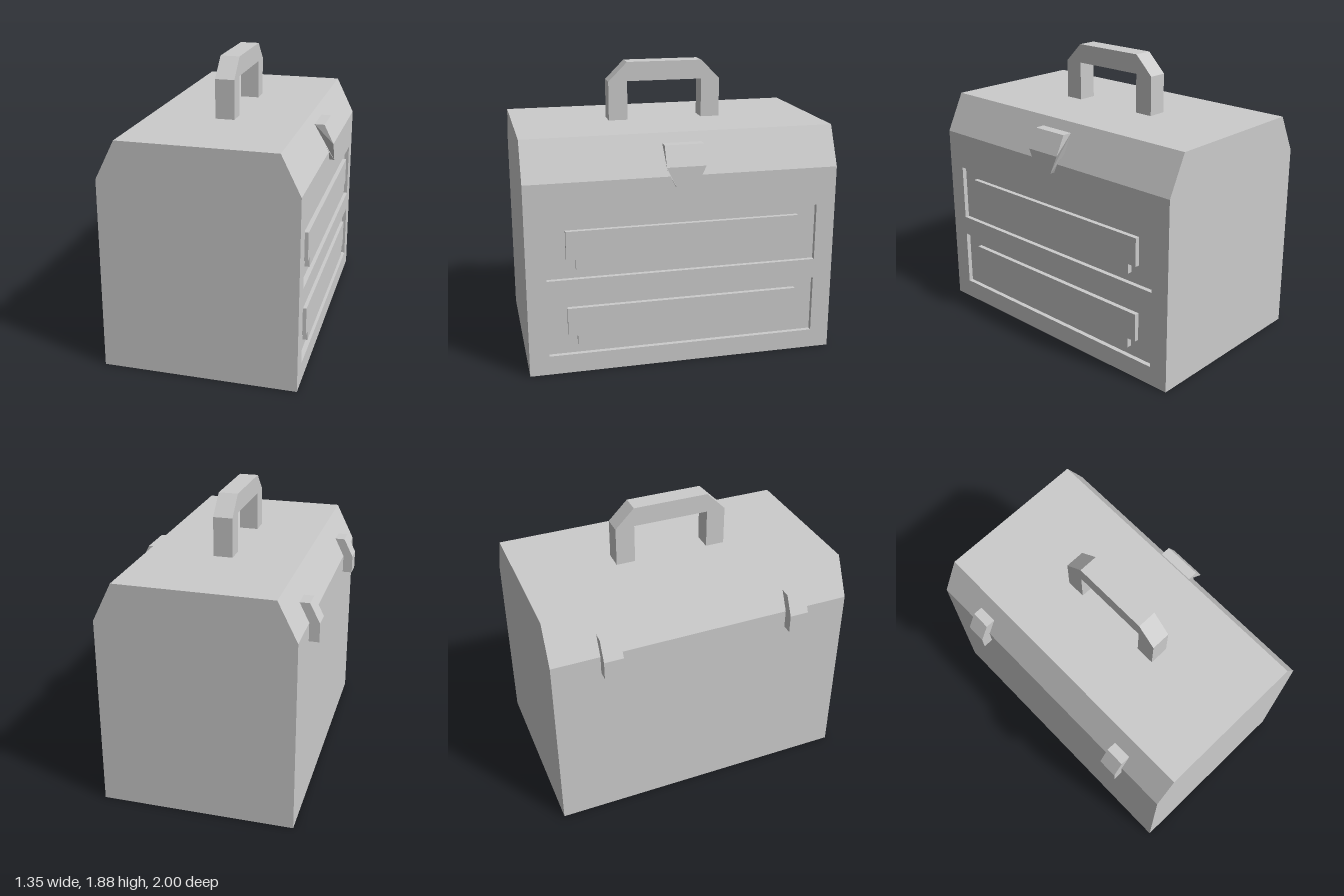
import * as THREE from 'three';

const material = new THREE.MeshStandardMaterial({ color: 0xcccccc, flatShading: true });
const WALL = 0.637, DEPTH = 0.03;
const outline = (pts) => pts.map(([a, b]) => new THREE.Vector2(a, b));
const extrude = (shape, depth) => new THREE.ExtrudeGeometry(shape, { depth, bevelEnabled: false });

// Profile in x, y extruded along z, centred on z = 0
const alongZ = (pts, width) => extrude(new THREE.Shape(outline(pts)), width).translate(0, 0, -width / 2);

// Shape in z, y extruded along x, starting at x0
const alongX = (shape, x0, width) => extrude(shape, width).rotateY(Math.PI / 2).translate(x0, 0, 0);

const rect = (w, y0, y1) => [[-w, y0], [w, y0], [w, y1], [-w, y1]];

export function createModel() {
  const group = new THREE.Group();
  const add = (name, geometry) => {
    const mesh = new THREE.Mesh(geometry, material);
    mesh.name = name;
    group.add(mesh);
    return mesh;
  };

  // Box with sloped shoulders, stepped in where the drawer wall sits
  add('body', alongZ([
    [-0.61, 0], [WALL - DEPTH, 0], [WALL - DEPTH, 1.15], [WALL, 1.15], [WALL, 1.25],
    [0.513, 1.5], [-0.485, 1.5], [-0.61, 1.25],
  ], 2));

  // Wall with two sunken drawer openings
  const rows = [0.125, 0.63];
  const wall = new THREE.Shape(outline(rect(1, 0, 1.15)));
  for (const y of rows) wall.holes.push(new THREE.Path(outline(rect(0.875, y, y + 0.375))));
  add('drawerWall', alongX(wall, WALL - DEPTH, DEPTH));

  // Raised drawer fronts with notched lower corners
  for (const y of rows) {
    const front = new THREE.Shape(outline([
      [-0.69, y + 0.063], [0.69, y + 0.063], [0.69, y + 0.127], [0.75, y + 0.127],
      [0.75, y + 0.312], [-0.75, y + 0.312], [-0.75, y + 0.127], [-0.69, y + 0.127],
    ]));
    add('drawerFront', alongX(front, WALL - DEPTH, DEPTH));
  }

  // Carrying handle
  const handle = new THREE.Shape(outline([
    [-0.375, 1.5], [-0.25, 1.5], [-0.25, 1.755], [0.25, 1.755], [0.25, 1.5], [0.375, 1.5],
    [0.375, 1.755], [0.25, 1.88], [-0.25, 1.88], [-0.375, 1.755],
  ]));
  add('handle', alongX(handle, -0.05, 0.125));

  // Latch, tapering below its bend
  const latch = alongZ([
    [0.543, 1.44], [0.605, 1.315], [WALL, 1.25], [WALL, 1.19],
    [0.67, 1.19], [0.67, 1.315], [0.608, 1.44],
  ], 0.25);
  const p = latch.attributes.position;
  for (let i = 0; i < p.count; i++) {
    const t = Math.max(0, (1.315 - p.getY(i)) / 0.125);
    p.setZ(i, p.getZ(i) * (1 - 0.48 * t));
  }
  latch.computeVertexNormals();
  add('latch', latch);

  // Pair of hinges bent over the opposite shoulder
  for (const z of [-0.625, 0.625]) {
    add('hinge', alongZ([
      [-0.548, 1.375], [-0.612, 1.375], [-0.675, 1.25],
      [-0.675, 1.13], [-0.61, 1.13], [-0.61, 1.25],
    ], 0.125)).position.z = z;
  }
  return group;
}
